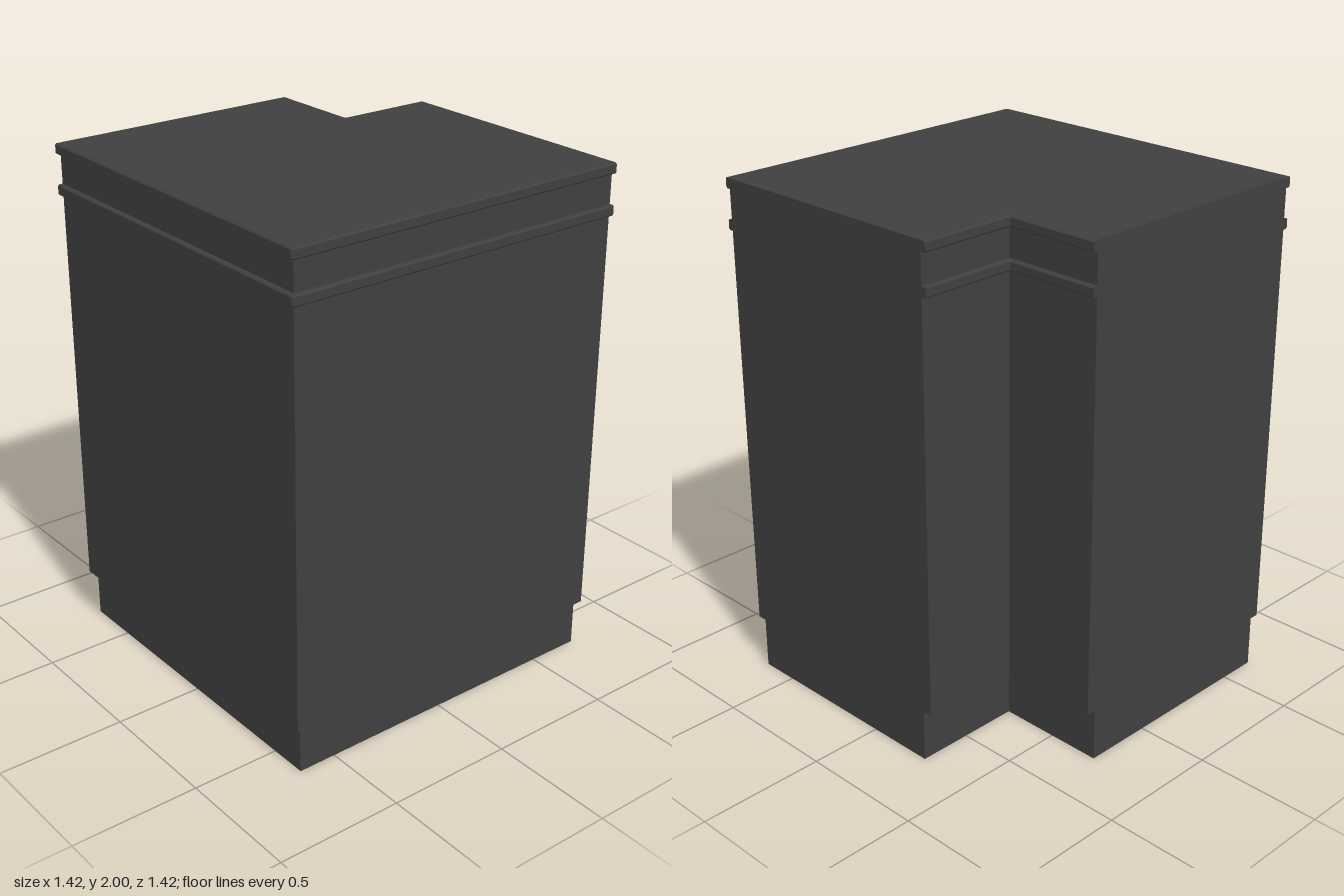
import * as THREE from 'three';

const SIDE = 0.71;   // flush wall position on the +x and -z sides
const NOTCH = 0.38;  // how far the notch cuts in from the flush sides

// L-shaped plan as [x, z] corners, counter-clockwise seen from above.
// d is the reach of the exposed faces, c the chamfer of their corners.
function outline(d, c) {
  const n = d - NOTCH;
  return [
    [-d, d - c], [-d + c, d], [SIDE, d], [SIDE, -n],
    [n + c, -n], [n, -n - c], [n, -SIDE], [-d, -SIDE],
  ];
}

// Stack of plan outlines, given as [reach, y] from bottom to top, with caps
function slab(name, material, profile, c = 0.002) {
  const rings = profile.map(([d, y]) => outline(d, c).map(([x, z]) => [x, y, z]));
  const pos = [];
  const count = rings[0].length;
  for (let r = 0; r + 1 < rings.length; r++) {
    for (let i = 0; i < count; i++) {
      const j = (i + 1) % count;
      const a = rings[r][i], b = rings[r][j], e = rings[r + 1][j], f = rings[r + 1][i];
      pos.push(...a, ...b, ...e, ...a, ...e, ...f);
    }
  }
  const cap = (ring, up) => {
    const flat = ring.map(([x, , z]) => new THREE.Vector2(x, -z));
    for (const [i, j, k] of THREE.ShapeUtils.triangulateShape(flat, [])) {
      const order = up ? [i, j, k] : [i, k, j];
      order.forEach((v) => pos.push(...ring[v]));
    }
  };
  cap(rings[0], false);
  cap(rings[rings.length - 1], true);

  const geometry = new THREE.BufferGeometry();
  geometry.setAttribute('position', new THREE.Float32BufferAttribute(pos, 3));
  geometry.computeVertexNormals();
  const mesh = new THREE.Mesh(geometry, material);
  mesh.name = name;
  return mesh;
}

export function createModel() {
  const group = new THREE.Group();
  group.name = 'cornerBlock';
  const material = new THREE.MeshStandardMaterial({ color: 0x404040, flatShading: true });

  // Projecting band with softened upper and lower edges
  const b = 0.005;
  const band = (y0, y1) => [
    [SIDE - b, y0], [SIDE, y0 + b], [SIDE, y1 - b], [SIDE - b, y1],
  ];

  group.add(
    slab('toeKick', material, [[0.652, 0], [0.652, 0.205]]),
    slab('body', material, [[0.69, 0.205], [0.69, 1.805]]),
    slab('lowerTrim', material, band(1.805, 1.845), 0.008),
    slab('frieze', material, [[0.69, 1.845], [0.69, 1.96]]),
    slab('topSlab', material, band(1.96, 2), 0.008),
  );
  return group;
}
